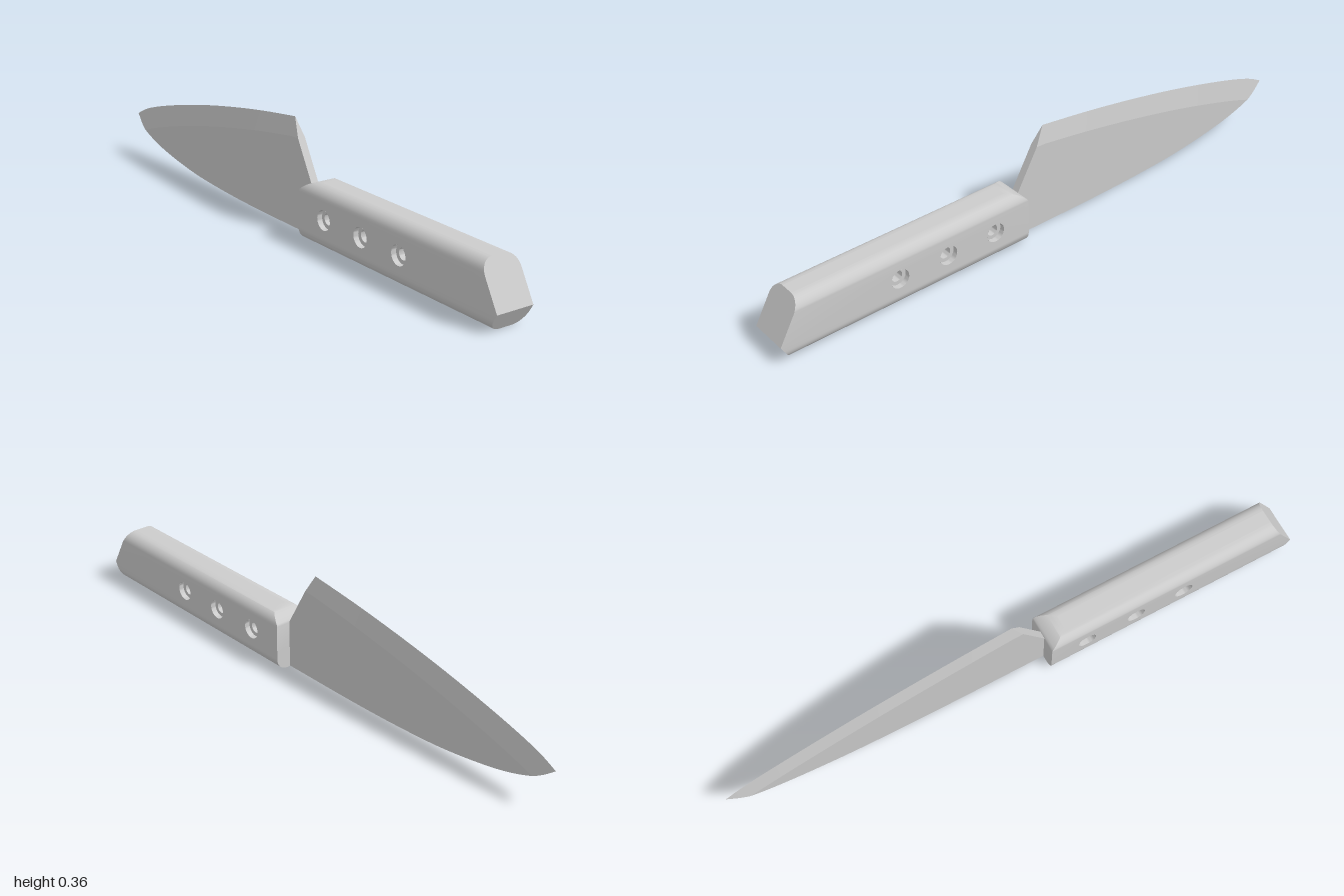
import * as THREE from 'three';
import { toCreasedNormals } from 'three/addons/utils/BufferGeometryUtils.js';

const material = new THREE.MeshStandardMaterial({ color: 0xcccccc, side: THREE.DoubleSide });

// Collects triangles and quads, optionally mirrored across z
function surface() {
  const pos = [];
  const tri = (a, b, c) => pos.push(...a, ...b, ...c);
  const quad = (a, b, c, d) => { tri(a, b, c); tri(a, c, d); };
  const flip = ([x, y, z]) => [x, y, -z];
  return {
    quad,
    bothTri(a, b, c) { tri(a, b, c); tri(flip(c), flip(b), flip(a)); },
    bothQuad(a, b, c, d) { quad(a, b, c, d); quad(flip(d), flip(c), flip(b), flip(a)); },
    // bridges from the +z points p, q to their mirror images
    bridge(p, q) { quad(p, flip(p), flip(q), q); },
    mesh(name, crease) {
      const g = new THREE.BufferGeometry();
      g.setAttribute('position', new THREE.Float32BufferAttribute(pos, 3));
      return named(name, toCreasedNormals(g, crease));
    },
  };
}

function named(name, geometry) {
  const mesh = new THREE.Mesh(geometry, material);
  mesh.name = name;
  return mesh;
}

function createBlade() {
  const half = 0.013;
  const xs = [-1, -0.93, -0.8, -0.6, -0.4, -0.2, -0.01];
  const spline = (ys) => new THREE.SplineCurve(xs.map((x, i) => new THREE.Vector2(x, ys[i])));
  const upper = spline([0.145, 0.178, 0.217, 0.265, 0.304, 0.336, 0.36]);
  const lower = spline([0.145, 0.1, 0.058, 0.024, 0.009, 0.003, 0.002]);

  // Each column: bottom, a point on the flat side, bevel line, sharp edge
  const columns = [];
  const n = 48;
  for (let i = 0; i <= n; i++) {
    const u = upper.getPoint(i / n), l = lower.getPoint(i / n);
    const bevelHeight = THREE.MathUtils.lerp(0.08, 0.062, (u.x + 1) / 0.99);
    const bevel = Math.max(l.y, u.y - bevelHeight);
    const w = half * Math.min(1, (u.y - l.y) / bevelHeight);
    columns.push([
      [u.x, l.y, w], [u.x, (l.y + bevel) / 2, w], [u.x, bevel, w], [u.x, u.y, 0],
    ]);
  }
  // Slanted heel running into the handle
  columns.push([[0.11, 0.002, half], [0.11, 0.145, half], [0.024, 0.299, half], [-0.01, 0.36, 0]]);

  const s = surface();
  for (let i = 0; i < columns.length - 1; i++) {
    const a = columns[i], b = columns[i + 1];
    for (let j = 0; j < 3; j++) s.bothQuad(a[j], b[j], b[j + 1], a[j + 1]);
    s.bridge(b[0], a[0]);
  }
  const heel = columns[columns.length - 1];
  for (let j = 0; j < 3; j++) s.bridge(heel[j], heel[j + 1]);
  return s.mesh('blade', 0.12);
}

function createHandle() {
  const H = 0.195, W = 0.065, r = 0.042;
  const holes = [0.23, 0.41, 0.587], holeY = 0.1, outer = 0.032, inner = 0.019;

  // Front end is rounded off at the top, butt end is two slanted planes
  const front = (y) => (y > 0.163 ? 0.165 - 0.065 * Math.sqrt(Math.max(0, H - y) / 0.032) : 0.1);
  const butt = (y) => (y < 0.06
    ? THREE.MathUtils.lerp(0.965, 1, y / 0.06)
    : THREE.MathUtils.lerp(1, 0.925, (y - 0.06) / (H - 0.06)));

  // Half section from bottom to top
  const rows = [];
  const steps = 10;
  const arc = (from, cy) => {
    for (let i = 0; i <= steps; i++) {
      const a = from + (i / steps) * Math.PI / 2;
      rows.push({ y: cy + r * Math.sin(a), w: W - r + r * Math.cos(a) });
    }
  };
  arc(-Math.PI / 2, r);
  rows.push({ y: 0.06, w: W });
  arc(0, H - r);

  const s = surface();
  const F = ({ y, w }) => [front(y), y, w];
  const B = ({ y, w }) => [butt(y), y, w];
  for (let i = 0; i < rows.length - 1; i++) {
    const p = rows[i], q = rows[i + 1];
    const flat = i >= steps && i <= steps + 1;
    if (!flat) s.bothQuad(F(p), B(p), B(q), F(q));
    s.bridge(B(p), B(q));
    s.bridge(F(q), F(p));
  }
  const first = rows[0], last = rows[rows.length - 1];
  s.bridge(B(first), F(first));
  s.bridge(F(last), B(last));

  // Flat side panels pierced by the rivet holes
  const panel = new THREE.Shape([
    [0.1, r], [butt(r), r], [1, 0.06], [butt(H - r), H - r], [0.1, H - r],
  ].map(([x, y]) => new THREE.Vector2(x, y)));
  for (const x of holes) panel.holes.push(new THREE.Path().absarc(x, holeY, outer, 0, Math.PI * 2, true));
  const side = new THREE.ShapeGeometry(panel, 32).toNonIndexed().attributes.position;
  const corner = (i) => [side.getX(i), side.getY(i), W];
  for (let i = 0; i < side.count; i += 3) s.bothTri(corner(i), corner(i + 1), corner(i + 2));

  const group = new THREE.Group();
  group.name = 'handle';
  group.add(s.mesh('grip', 0.5));

  // Stepped through holes
  const step = W - 0.018;
  const profile = [[outer, W], [outer, step], [inner, step], [inner, -step], [outer, -step], [outer, -W]]
    .map(([x, y]) => new THREE.Vector2(x, y));
  const bore = toCreasedNormals(new THREE.LatheGeometry(profile, 32).rotateX(Math.PI / 2), 0.5);
  for (const x of holes) {
    const hole = named('rivetHole', bore);
    hole.position.set(x, holeY, 0);
    group.add(hole);
  }
  return group;
}

export function createModel() {
  const model = new THREE.Group();
  model.name = 'kitchenKnife';
  model.add(createBlade(), createHandle());
  return model;
}
